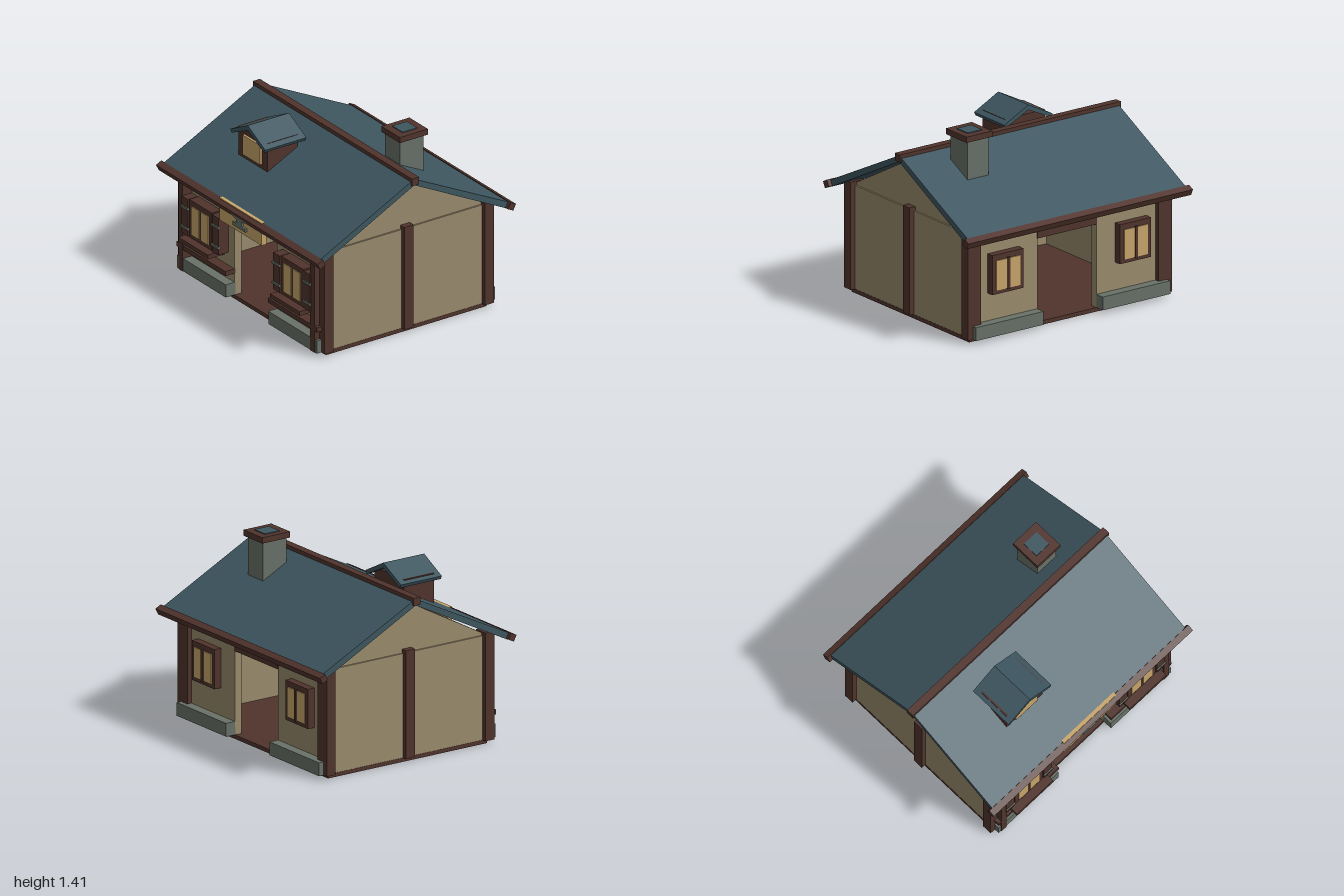
import * as THREE from 'three';

const mat = (name, color) => {
  const m = new THREE.MeshStandardMaterial({ color });
  m.name = name;
  return m;
};

export function createModel() {
  const house = new THREE.Group();
  house.name = 'cottage';
  const roofTeal = mat('roof teal', 0x3e5660);
  const plaster = mat('plaster', 0x9a8b6d);
  const wood = mat('dark wood', 0x51342d);
  const stone = mat('stone', 0x687168);
  const glow = mat('warm panel', 0xc8a56b);

  // Box given by its lower and upper limits on each axis
  const box = (name, m, x0, x1, y0, y1, z0, z1, parent = house) => {
    const mesh = new THREE.Mesh(new THREE.BoxGeometry(x1 - x0, y1 - y0, Math.abs(z1 - z0)), m);
    mesh.position.set((x0 + x1) / 2, (y0 + y1) / 2, (z0 + z1) / 2);
    mesh.name = name;
    parent.add(mesh);
    return mesh;
  };

  // Outline extruded along z, centred on z = 0
  const prism = (name, m, points, depth) => {
    const shape = new THREE.Shape(points.map(([x, y]) => new THREE.Vector2(x, y)));
    const geo = new THREE.ExtrudeGeometry(shape, { depth, bevelEnabled: false });
    geo.translate(0, 0, -depth / 2);
    const mesh = new THREE.Mesh(geo, m);
    mesh.name = name;
    house.add(mesh);
    return mesh;
  };

  // Box whose x range is mirrored for the given side
  const sideBox = (name, m, s, x0, x1, ...rest) =>
    s > 0 ? box(name, m, x0, x1, ...rest) : box(name, m, -x1, -x0, ...rest);

  box('floor', wood, -0.87, 0.87, 0, 0.03, -0.7, 0.7);

  for (const s of [1, -1]) {
    // Side wall, gable and posts
    sideBox('sideWall', plaster, s, 0.82, 0.868, 0.03, 0.81, -0.69, 0.69);
    const gable = prism('gable', plaster, [[-0.7, 0.81], [0.7, 0.81], [0, 1.19]], 0.03);
    gable.rotation.y = Math.PI / 2;
    gable.position.x = s * 0.84;
    sideBox('middlePost', wood, s, 0.84, 0.905, 0.03, 0.84, -0.04, 0.04);
    for (const f of [1, -1]) {
      sideBox('cornerPost', wood, s, 0.79, 0.907, 0.03, 0.84, f * 0.66, f * 0.737);
      sideBox('wallPanel', plaster, s, 0.263, 0.86, 0.03, 0.81, f * 0.64, f * 0.7);
      sideBox('stoneBase', stone, s, 0.263, 0.865, 0.03, 0.13, f * 0.69, f * 0.776);
    }
    // Front timbering
    sideBox('frontPost', wood, s, 0.79, 0.842, 0.03, 0.8, 0.72, 0.781);
    sideBox('frontRail', wood, s, 0.263, 0.87, 0.2, 0.236, 0.69, 0.779);

    // Windows
    const c = 0.568;
    for (const f of [1, -1]) {
      const front = f > 0;
      const face = front ? 0.782 : 0.758;
      sideBox('windowFrame', wood, s, c - 0.138, c + 0.138, 0.338, 0.635, f * 0.69, f * face);
      for (const k of [-1, 1]) {
        const p = c + k * 0.058;
        sideBox('windowPane', glow, s, p - 0.047, p + 0.047, 0.367, 0.592, f * (face - 0.002), f * (face + 0.007));
      }
      // Raised surround and mullion around the panes
      if (!front) {
        sideBox('mullion', wood, s, c - 0.01, c + 0.01, 0.36, 0.6, f * 0.75, f * 0.773);
      }
    }
    sideBox('windowSill', wood, s, c - 0.182, c + 0.182, 0.303, 0.336, 0.69, 0.846);
    for (const k of [-1, 1]) {
      const p = c + k * 0.189;
      sideBox('shutter', wood, s, p - 0.04, p + 0.04, 0.338, 0.63, 0.69, 0.787);
      for (const y of [0.395, 0.553]) {
        sideBox('hinge', stone, s, p - 0.043, p + 0.043, y - 0.008, y + 0.008, 0.78, 0.797);
      }
    }
  }

  // Lintels over the two doorways
  for (const f of [1, -1]) {
    box('lintel', wood, -0.265, 0.265, 0.66, 0.81, f * 0.64, f * 0.705);
  }

  // Main roof, ridge beam and eave beams
  const roof = prism('roof', roofTeal, [
    [0, 1.19], [0.805, 0.782], [0.827, 0.826], [0, 1.238], [-0.827, 0.826], [-0.805, 0.782],
  ], 1.94);
  roof.rotation.y = Math.PI / 2;
  box('ridgeBeam', wood, -0.985, 0.985, 1.195, 1.252, -0.03, 0.03);
  for (const f of [1, -1]) {
    const eave = box('eaveBeam', wood, -1, 1, 0.776, 0.828, f * 0.804, f * 0.856);
    eave.rotation.x = f * 0.463;
  }

  // Hanging sign with an anvil shape
  box('signBoard', glow, -0.262, 0.26, 0.662, 0.838, 0.79, 0.832);
  prism('anvil', stone, [
    [-0.08, 0.7], [0.08, 0.7], [0.08, 0.725], [0.035, 0.73], [0.035, 0.762],
    [0.1, 0.775], [0.1, 0.786], [-0.1, 0.786], [-0.1, 0.775], [-0.035, 0.762],
    [-0.035, 0.73], [-0.08, 0.725],
  ], 0.02).position.z = 0.838;

  // Chimney
  box('chimneyStack', stone, 0.425, 0.61, 1.0, 1.365, -0.335, -0.13);
  box('chimneyCap', wood, 0.405, 0.635, 1.36, 1.404, -0.355, -0.11);
  box('chimneyOpening', roofTeal, 0.455, 0.582, 1.402, 1.41, -0.297, -0.17);

  // Dormer
  box('dormerBody', wood, -0.505, -0.145, 0.99, 1.217, 0.235, 0.495);
  box('dormerWindow', glow, -0.43, -0.215, 1.025, 1.18, 0.49, 0.513);
  prism('dormerRoof', roofTeal, [
    [-0.32, 1.266], [-0.118, 1.168], [-0.105, 1.194], [-0.32, 1.305], [-0.535, 1.194], [-0.522, 1.168],
  ], 0.36).position.z = 0.364;

  return house;
}
